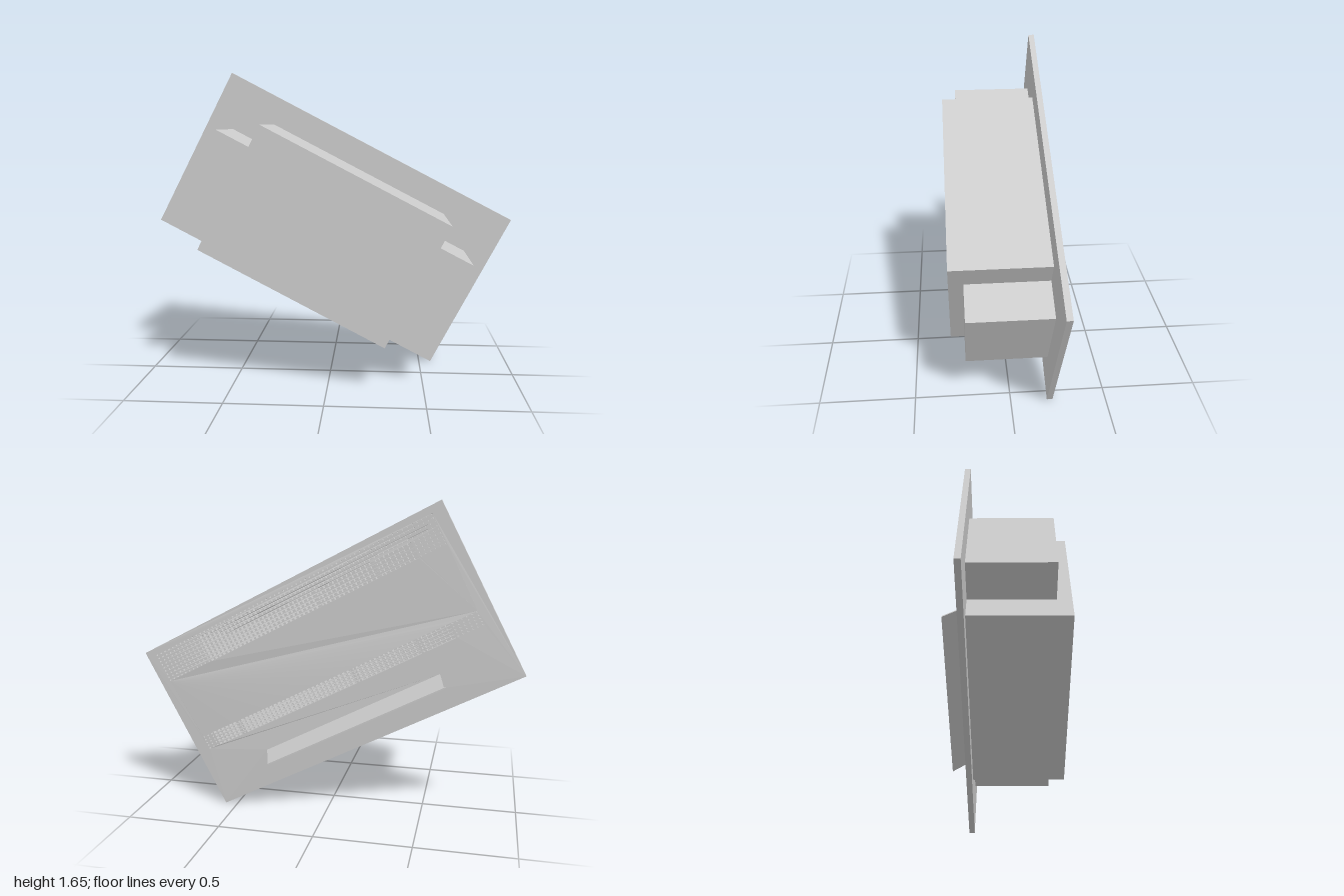
import * as THREE from 'three';

const W = 1.763, H = 0.937;          // panel size
const mat = new THREE.MeshStandardMaterial({ color: 0xcccccc, flatShading: true });
const matThin = new THREE.MeshStandardMaterial({ color: 0xcccccc, flatShading: true, side: THREE.DoubleSide });

function rectPath(PathType, x0, y0, x1, y1) {
  const p = new PathType();
  p.moveTo(x0, y0).lineTo(x1, y0).lineTo(x1, y1).lineTo(x0, y1).closePath();
  return p;
}

function addBox(parent, name, x0, x1, y0, y1, z0, z1) {
  const m = new THREE.Mesh(new THREE.BoxGeometry(x1 - x0, y1 - y0, z1 - z0), mat);
  m.position.set((x0 + x1) / 2, (y0 + y1) / 2, (z0 + z1) / 2);
  m.name = name;
  parent.add(m);
}

// A band of small holes: wide slots inside the listed blocks, dots elsewhere.
// s runs from 0 at the +x end of the panel to 1 at the other end.
function addVentBand(shape, yTop, rows, pitchY, s0, s1, isSlot) {
  const pitch = 0.026;
  const cols = Math.floor((s1 - s0) * W / pitch);
  for (let r = 0; r < rows; r++) {
    const y = yTop - r * pitchY;
    for (let c = 0; c < cols; c++) {
      const s = s0 + (c + 0.5) * pitch / W;
      const x = W / 2 - s * W;
      const slot = isSlot(s, r);
      const hw = slot ? 0.0115 : 0.004, hh = slot ? 0.0055 : 0.0035;
      shape.holes.push(rectPath(THREE.Path, x - hw, y - hh, x + hw, y + hh));
    }
  }
}

function inBlocks(s, blocks) {
  return blocks.some(([a, b]) => s > a && s < b);
}

// Perforated cover, slightly crowned outwards
function makeCover() {
  const shape = rectPath(THREE.Shape, -W / 2, -H / 2, W / 2, H / 2);

  // upper vent: one tall block, the others only in the lower rows
  addVentBand(shape, 0.428, 9, 0.019, 0.025, 0.975, (s, r) =>
    (inBlocks(s, [[0.18, 0.39]]) && r >= 1) ||
    (inBlocks(s, [[0.4, 0.575], [0.59, 0.765], [0.78, 0.88]]) && r >= 4));

  // middle vent
  addVentBand(shape, -0.083, 5, 0.017, 0.035, 0.965, (s) =>
    inBlocks(s, [[0.085, 0.165], [0.18, 0.37], [0.38, 0.57], [0.58, 0.77], [0.785, 0.88]]));

  // outlet opening under the flap
  shape.holes.push(rectPath(THREE.Path, -0.508, -0.362, 0.505, -0.287));

  const geo = new THREE.ExtrudeGeometry(shape, { depth: 0.021, bevelEnabled: false });
  const p = geo.attributes.position;
  for (let i = 0; i < p.count; i++) {
    if (p.getZ(i) > 0.01) continue;
    const a = p.getX(i) / (W / 2), b = p.getY(i) / (H / 2);
    p.setZ(i, -0.02 * (1 - a * a) * (1 - b * b));
  }
  geo.translate(0, 0, -0.221);
  geo.computeVertexNormals();
  const m = new THREE.Mesh(geo, mat);
  m.name = 'perforatedCover';
  return m;
}

// Open flap hinged along the top of the outlet
function makeFlap() {
  const s = new THREE.Shape();          // cross-section drawn as (z, y)
  s.moveTo(-0.225, -0.283).lineTo(-0.303, -0.342).lineTo(-0.303, -0.35).lineTo(-0.225, -0.291).closePath();
  const len = 1.018;
  const geo = new THREE.ExtrudeGeometry(s, { depth: len, bevelEnabled: false });
  geo.rotateY(-Math.PI / 2);            // section x becomes z, extrusion runs to -x
  geo.translate(len / 2 - 0.002, 0, 0);
  const m = new THREE.Mesh(geo, matThin);
  m.name = 'outletFlap';
  return m;
}

export function createModel() {
  const model = new THREE.Group();
  model.name = 'ventilationUnit';

  const unit = new THREE.Group();
  unit.name = 'tiltedUnit';
  unit.position.set(0, 0.828, 0);
  unit.rotation.z = -0.4803;
  model.add(unit);

  // Panel
  addBox(unit, 'panelBacking', -W / 2, W / 2, -H / 2, H / 2, -0.2, -0.191);
  unit.add(makeCover());
  unit.add(makeFlap());

  // Housing behind the panel, with a smaller box at each end
  addBox(unit, 'mainHousing', -0.541, 0.535, -0.385, 0.324, -0.195, 0.303);
  addBox(unit, 'rightEndBox', -0.738, -0.53, -0.25, 0.193, -0.195, 0.23);
  addBox(unit, 'leftEndBox', 0.53, 0.736, -0.25, 0.193, -0.195, 0.23);

  return model;
}
